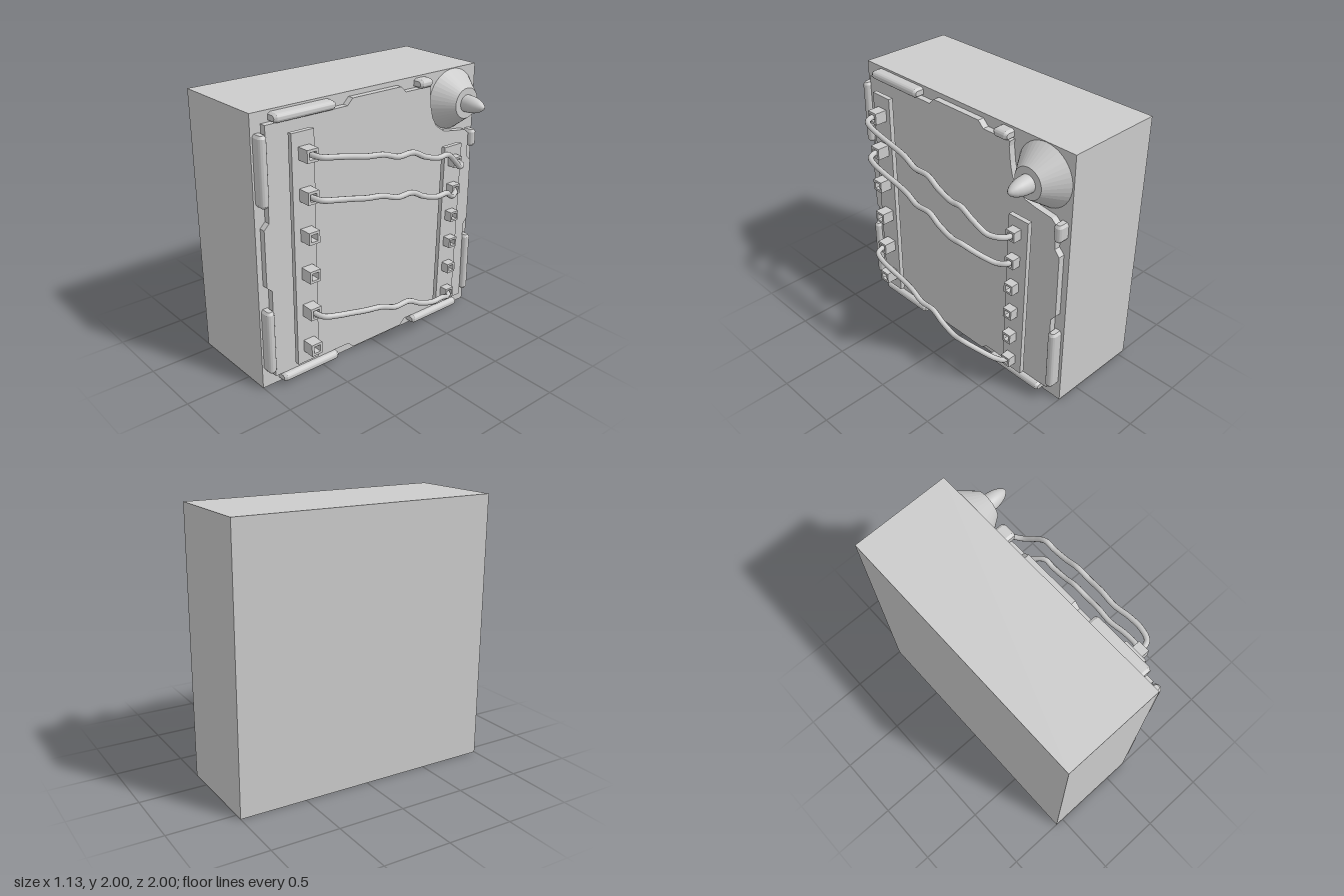
import * as THREE from 'three';
import { toCreasedNormals } from 'three/addons/utils/BufferGeometryUtils.js';

const FACE = 0.18; // x of the cabinet's equipped side
const grey = new THREE.MeshStandardMaterial({ color: 0xcccccc });

export function createModel() {
  const root = new THREE.Group();

  const add = (name, geometry, x = 0, y = 0, z = 0) => {
    const mesh = new THREE.Mesh(geometry, grey);
    mesh.name = name;
    mesh.position.set(x, y, z);
    root.add(mesh);
    return mesh;
  };

  // Outline given as [z, y] pairs, extruded towards +x
  const outline = (points) => new THREE.Shape(points.map(([z, y]) => new THREE.Vector2(-z, y)));
  const plate = (shape, depth) =>
    new THREE.ExtrudeGeometry(shape, { depth, bevelEnabled: false }).rotateY(Math.PI / 2);
  const square = (s) => [[s, -s], [-s, -s], [-s, s], [s, s]];

  // Cabinet
  add('cabinet', new THREE.BoxGeometry(0.745, 2, 2), FACE - 0.3725, 1, 0);

  // Raised panel, notched edges and a corner cut around the spike
  add('panel', plate(outline([
    [0.92, 1.92], [0.92, 1.26], [0.96, 1.22], [0.96, 0.80], [0.92, 0.765], [0.92, 0.09],
    [0.27, 0.09], [0.22, 0.045], [-0.25, 0.045], [-0.30, 0.09], [-0.915, 0.09],
    [-0.915, 0.72], [-0.955, 0.77], [-0.955, 1.255], [-0.915, 1.30], [-0.915, 1.485],
    [-0.875, 1.52], [-0.75, 1.535], [-0.65, 1.555], [-0.57, 1.61], [-0.53, 1.68],
    [-0.51, 1.76], [-0.495, 1.88], [-0.50, 1.92],
    [-0.26, 1.92], [-0.215, 1.965], [0.22, 1.965], [0.265, 1.92],
  ]), 0.047), FACE, 0, 0);

  // Round-topped edge bars with bevelled ends
  const r = 0.032;
  const barShape = new THREE.Shape();
  barShape.moveTo(-0.015, -r).lineTo(0.05, -r);
  barShape.absarc(0.05, 0, r, -Math.PI / 2, Math.PI / 2, false);
  barShape.lineTo(-0.015, r);
  const barGeometry = (length) => toCreasedNormals(new THREE.ExtrudeGeometry(barShape, {
    depth: length - 0.04, bevelThickness: 0.02, bevelSize: 0.013, bevelOffset: -0.013,
    bevelSegments: 1, curveSegments: 12,
  }).translate(0, 0, -(length - 0.04) / 2), 0.5);

  // [z, lowest y, highest y]
  for (const [z, a, b] of [
    [0.953, 1.38, 1.865], [0.953, 0.14, 0.625], [-0.946, 0.14, 0.625], [-0.946, 1.38, 1.51],
  ]) add('uprightEdgeBar', barGeometry(b - a).rotateX(-Math.PI / 2), FACE, (a + b) / 2, z);

  // [y, rear z, front z]
  for (const [y, a, b] of [
    [1.953, 0.38, 0.865], [1.953, -0.495, -0.375], [0.053, 0.38, 0.865], [0.053, -0.85, -0.365],
  ]) add('levelEdgeBar', barGeometry(b - a), FACE, y, (a + b) / 2);

  // Socket rails; the rear one leans slightly
  add('frontRail', plate(outline([[0.785, 0.17], [0.607, 0.17], [0.607, 1.86], [0.785, 1.86]]), 0.035), 0.277);
  add('rearRail', plate(outline([[-0.555, 0.155], [-0.73, 0.155], [-0.757, 1.46], [-0.585, 1.46]]), 0.035), 0.277);

  // Hollow square sockets
  const socketGeometry = (half, hole, depth) => {
    const shape = outline(square(half));
    shape.holes.push(outline(square(hole)));
    return plate(shape, depth);
  };
  const frontSocket = socketGeometry(0.044, 0.026, 0.095);
  const rearSocket = socketGeometry(0.038, 0.023, 0.065);
  for (let i = 0; i < 6; i++) {
    add('frontSocket', frontSocket, 0.311, 1.72 - i * 0.283, 0.69);
    add('rearSocket', rearSocket, 0.311, 1.35 - i * 0.218, -0.66 + i * 0.004);
  }

  // Wavy cables: shared run [x, drop, z], then an end of [x, y, z]
  const run = [
    [0.34, 0, 0.69], [0.41, 0, 0.69], [0.465, -0.004, 0.665], [0.497, -0.012, 0.58],
    [0.505, -0.032, 0.47], [0.5, -0.066, 0.33], [0.515, -0.08, 0.2], [0.528, -0.118, 0.08],
    [0.53, -0.118, -0.05], [0.535, -0.172, -0.16], [0.54, -0.208, -0.29], [0.54, -0.205, -0.375],
  ];
  const cable = (y, end) => {
    const points = run.map(([x, dy, z]) => new THREE.Vector3(x, y + dy, z));
    points.push(...end.map((p) => new THREE.Vector3(...p)));
    add('cable', new THREE.TubeGeometry(new THREE.CatmullRomCurve3(points), 110, 0.02, 10));
  };
  cable(1.725, [[0.52, 1.445, -0.47], [0.485, 1.37, -0.56], [0.44, 1.355, -0.63], [0.39, 1.35, -0.66], [0.33, 1.35, -0.66]]);
  cable(1.435, [[0.48, 1.165, -0.48], [0.415, 1.115, -0.58], [0.38, 1.12, -0.64], [0.33, 1.132, -0.656]]);
  cable(0.587, [[0.48, 0.325, -0.48], [0.415, 0.268, -0.57], [0.38, 0.258, -0.62], [0.33, 0.26, -0.64]]);

  // Faceted cone base and smooth pointed spike in the corner
  const base = new THREE.CylinderGeometry(0.113, 0.226, 0.157, 40).rotateZ(-Math.PI / 2).toNonIndexed();
  base.computeVertexNormals();
  add('spikeBase', base, FACE + 0.0785, 1.77, -0.762);

  const profile = [
    [0.064, 0], [0.062, 0.05], [0.055, 0.09], [0.042, 0.128], [0.025, 0.155], [0.012, 0.167], [0, 0.171],
  ].map(([radius, h]) => new THREE.Vector2(radius, h));
  add('spike', new THREE.LatheGeometry(profile, 32).rotateZ(-Math.PI / 2), 0.335, 1.77, -0.762);

  return root;
}
